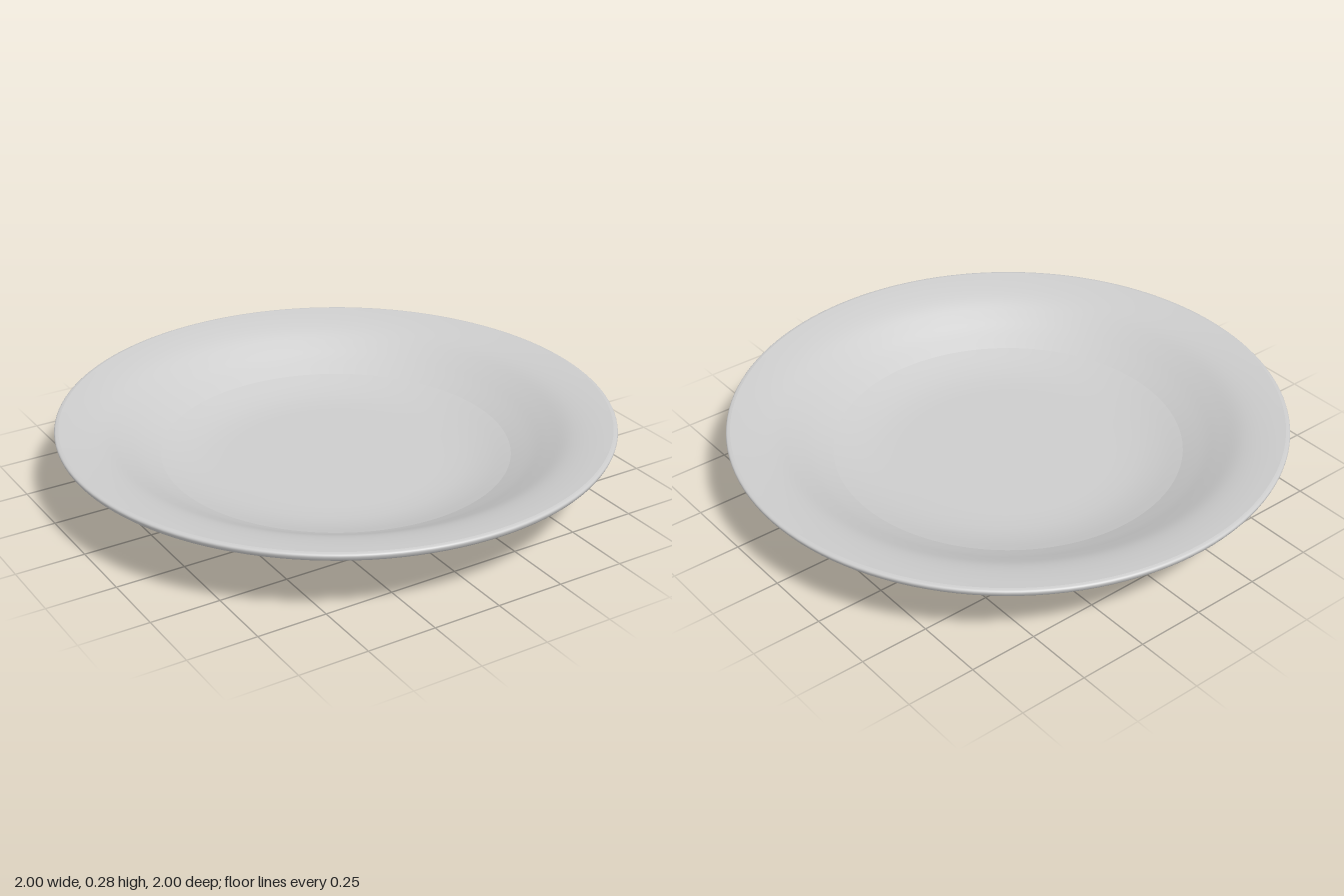
import * as THREE from 'three';

const SEGMENTS = 128;

export function createModel() {
  const group = new THREE.Group();
  group.name = 'plate';

  const glaze = new THREE.MeshStandardMaterial({ color: 0xcccccc });
  glaze.name = 'pale grey glaze';

  // One smooth ring of the plate; edges between rings stay sharp.
  function ring(name, profile, divisions = 0) {
    let points = profile.map(([r, y]) => new THREE.Vector2(r, y));
    if (divisions) points = new THREE.SplineCurve(points).getPoints(divisions);
    const mesh = new THREE.Mesh(new THREE.LatheGeometry(points, SEGMENTS), glaze);
    mesh.name = name;
    group.add(mesh);
  }

  // Foot: recessed base and a thin standing ring
  ring('baseRecess', [[0, 0.045], [0.528, 0.045]]);
  ring('footInnerWall', [[0.528, 0.045], [0.528, 0.003], [0.531, 0]]);
  ring('footBottom', [[0.531, 0], [0.54, 0]]);
  ring('footOuterWall', [[0.54, 0], [0.544, 0.004], [0.545, 0.054]]);

  // Straight flared underside, curling out under the rim
  ring('underside', [[0.545, 0.054], [0.82, 0.205]]);
  ring('rimUnderside', [[0.82, 0.205], [0.855, 0.223], [0.89, 0.233], [0.93, 0.237]], 10);

  // Rounded lip
  ring('lip', [[0.93, 0.237], [0.965, 0.24], [0.99, 0.25], [1, 0.266], [0.997, 0.275], [0.985, 0.278]], 20);

  // Upper surface: rim sweeping down the wall to a gently dished floor
  ring('wellWall', [[0.985, 0.278], [0.93, 0.271], [0.87, 0.259], [0.82, 0.242],
    [0.76, 0.211], [0.7, 0.178], [0.63, 0.143]], 30);
  ring('wellFloor', [[0.63, 0.143], [0.56, 0.122], [0.49, 0.108], [0.42, 0.102], [0.36, 0.101]], 16);
  ring('wellCentre', [[0.36, 0.101], [0, 0.101]]);

  return group;
}
